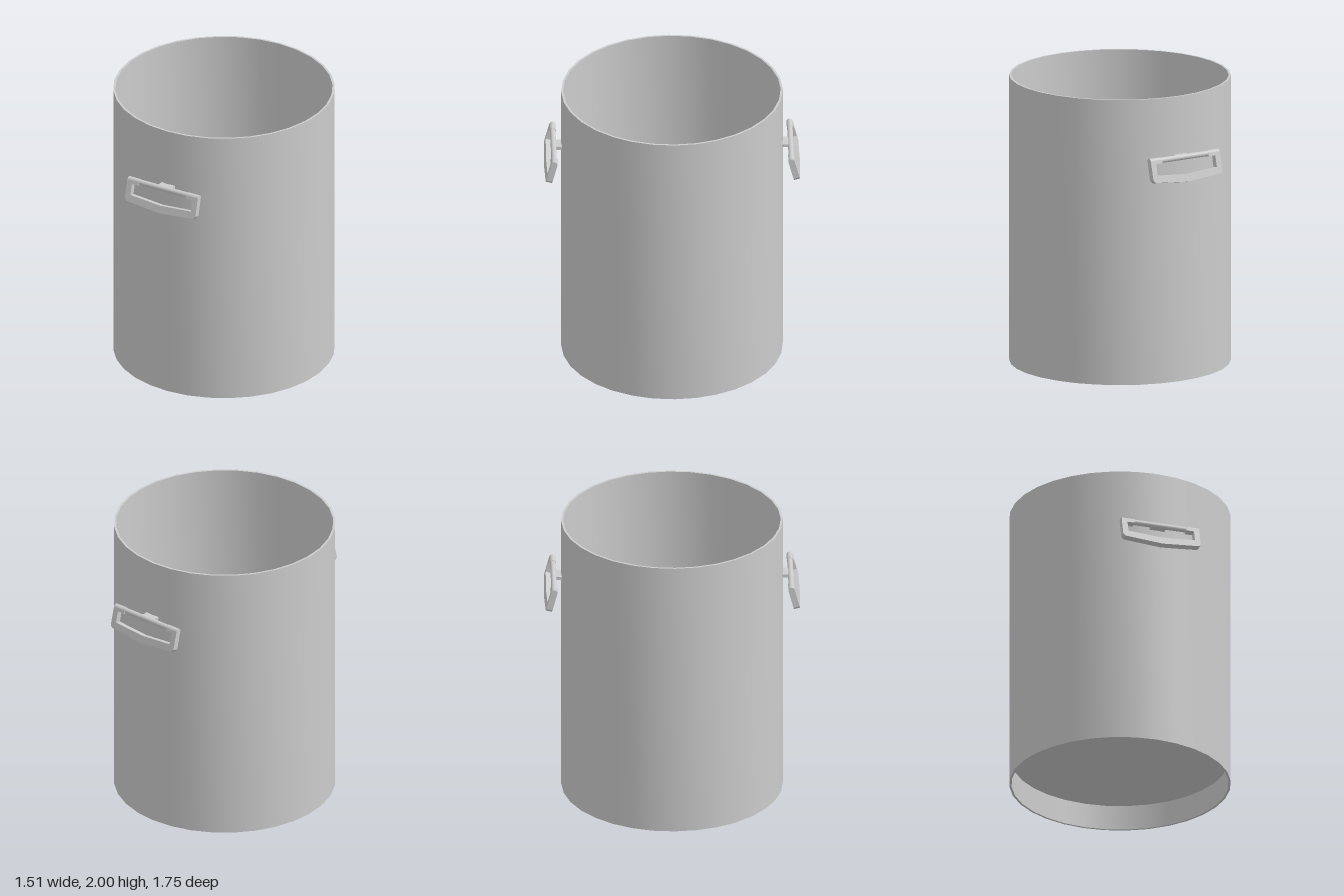
import * as THREE from 'three';
import { toCreasedNormals } from 'three/addons/utils/BufferGeometryUtils.js';

const SIDES = 32, R_OUT = 0.757, R_IN = 0.742, HEIGHT = 2;
const PIVOT_Y = 1.585, PIVOT_Z = 0.81, TILT = -0.26;

const material = new THREE.MeshStandardMaterial({ color: 0xcccccc });

function part(name, geometry, parent) {
  const mesh = new THREE.Mesh(geometry, material);
  mesh.name = name;
  parent.add(mesh);
  return mesh;
}

// Rod lying along x, centred on x
function rod(name, radius, length, x, parent) {
  const mesh = part(name, new THREE.CylinderGeometry(radius, radius, length, 16), parent);
  mesh.rotation.z = Math.PI / 2;
  mesh.position.x = x;
  return mesh;
}

// One swinging handle facing +z
function createHandle(name) {
  const handle = new THREE.Group();
  handle.name = name;

  // Lug joining the wall to the hinge pin
  part('lug', new THREE.BoxGeometry(0.106, 0.022, 0.068), handle)
    .position.set(0, PIVOT_Y, PIVOT_Z - 0.034);

  // Everything that hangs from the hinge
  const swing = new THREE.Group();
  swing.name = 'swingingGrip';
  swing.position.set(0, PIVOT_Y, PIVOT_Z);
  swing.rotation.x = TILT;
  handle.add(swing);

  rod('hingePin', 0.019, 0.4, 0, swing);
  for (const side of [-1, 1]) rod('hingeEye', 0.0215, 0.092, side * 0.234, swing);

  // Right half of the frame outline, mirrored for the other half
  const outer = [[0.188, 0], [0.28, 0], [0.28, -0.13], [0.265, -0.148]];
  const inner = [[0.24, -0.1], [0.24, -0.0215], [0.188, -0.0215]];
  const mirror = (pts) => pts.map(([x, y]) => [-x, y]).reverse();
  const outline = [
    ...outer, [0, -0.172], ...mirror(outer),
    ...mirror(inner), [0, -0.118], ...inner,
  ].map(([x, y]) => new THREE.Vector2(x, y));
  const depth = 0.043;
  const frame = new THREE.ExtrudeGeometry(new THREE.Shape(outline), { depth, bevelEnabled: false });
  frame.translate(0, 0, -depth / 2);
  part('gripFrame', frame, swing);

  return handle;
}

export function createModel() {
  const model = new THREE.Group();
  model.name = 'bin';

  // Thin open wall with flat rims
  const profile = [[R_OUT, 0], [R_OUT, HEIGHT], [R_IN, HEIGHT], [R_IN, 0], [R_OUT, 0]]
    .map(([r, y]) => new THREE.Vector2(r, y));
  part('wall', toCreasedNormals(new THREE.LatheGeometry(profile, SIDES), 0.6), model);

  // Raised floor, leaving a recess underneath
  part('floor', new THREE.CylinderGeometry(R_IN + 0.003, R_IN + 0.003, 0.016, SIDES), model)
    .position.y = 0.185;

  // Front and back handles
  const front = createHandle('frontHandle');
  const back = createHandle('backHandle');
  back.rotation.y = Math.PI;
  for (const handle of [front, back]) {
    handle.position.x = 0.006;
    model.add(handle);
  }
  return model;
}
